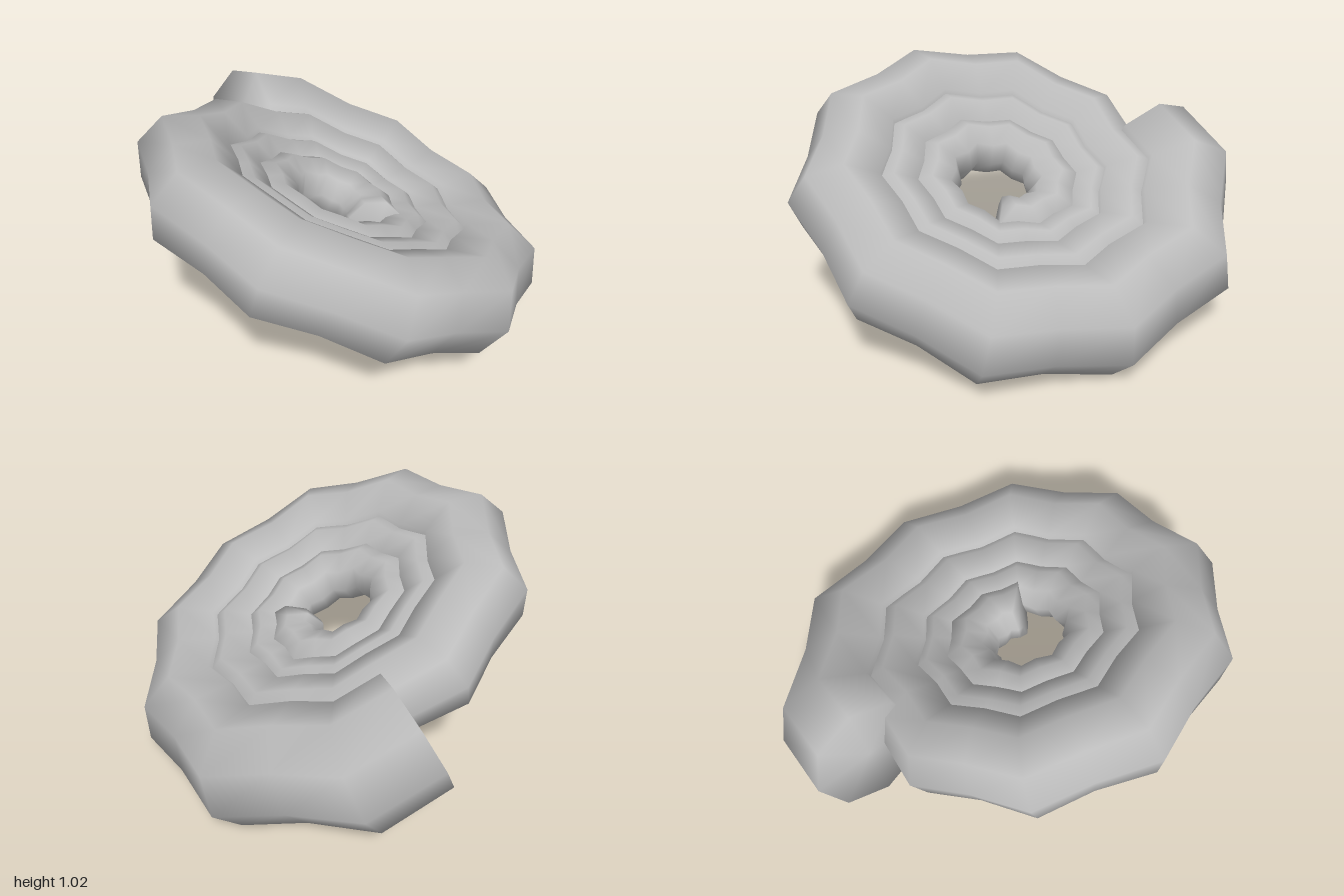
import * as THREE from 'three';

const SIDES = 8;
const TILT = -24.5 * Math.PI / 180;

// Outer radius of the coil at each rib of the first whorl; each deeper whorl shrinks by 0.7
const RIBS = [1.145, 1.08, 1.0, 0.966, 0.92, 0.917, 0.91, 0.9, 0.88, 0.84];
const ribRadius = (k) => RIBS[k % 10] * Math.pow(0.7, Math.floor(k / 10));

// Rings sit every half rib: full at the ribs, slightly pinched between them
function ringAt(i) {
  const theta = (-78 + 18 * i) * Math.PI / 180;
  let outer, tube;
  if (i < 0) {
    outer = 1.1; // mouth ring
    tube = 0.26;
  } else if (i % 2 === 0) {
    outer = ribRadius(i / 2);
    tube = Math.max(outer * 0.235, 0.125);
  } else {
    const k = (i - 1) / 2;
    const mean = (ribRadius(k) + ribRadius(k + 1)) / 2;
    outer = mean * 0.93;
    tube = Math.max(mean * 0.222, 0.122);
  }
  return { theta, tube, centre: Math.max(outer - tube, 0.03) };
}

// Spiral tube with octagonal cross-section, closed at both ends
function coilGeometry() {
  const positions = [];
  const index = [];
  const first = -1, last = 66;
  for (let i = first; i <= last; i++) {
    const { theta, tube, centre } = ringAt(i);
    for (let j = 0; j < SIDES; j++) {
      const phi = (j / SIDES) * Math.PI * 2;
      const d = centre + tube * Math.cos(phi);
      positions.push(d * Math.cos(theta), tube * Math.sin(phi), d * Math.sin(theta));
    }
  }
  const rings = last - first + 1;
  for (let i = 0; i < rings - 1; i++) {
    for (let j = 0; j < SIDES; j++) {
      const a = i * SIDES + j;
      const b = i * SIDES + (j + 1) % SIDES;
      index.push(a, b, a + SIDES, b, b + SIDES, a + SIDES);
    }
  }
  // End caps share their rim so the shading rolls over the edge
  for (const [i, flip] of [[0, true], [rings - 1, false]]) {
    const { theta, centre } = ringAt(first + i);
    const hub = positions.length / 3;
    positions.push(centre * Math.cos(theta), 0, centre * Math.sin(theta));
    for (let j = 0; j < SIDES; j++) {
      const a = i * SIDES + j;
      const b = i * SIDES + (j + 1) % SIDES;
      if (flip) index.push(hub, b, a);
      else index.push(hub, a, b);
    }
  }
  const geometry = new THREE.BufferGeometry();
  geometry.setAttribute('position', new THREE.Float32BufferAttribute(positions, 3));
  geometry.setIndex(index);
  geometry.computeVertexNormals();
  return geometry;
}

export function createModel() {
  const model = new THREE.Group();
  model.name = 'spiralShell';

  const shellGrey = new THREE.MeshStandardMaterial({ color: 0xbcbcbc });
  shellGrey.name = 'shellGrey';

  const coil = new THREE.Mesh(coilGeometry(), shellGrey);
  coil.name = 'coil';
  coil.position.set(-0.05, 0, 0.12);

  // The whole coil leans down towards +x
  const lean = new THREE.Group();
  lean.name = 'leaningCoil';
  lean.rotation.z = TILT;
  lean.position.y = 0.53;
  lean.add(coil);
  model.add(lean);
  return model;
}
